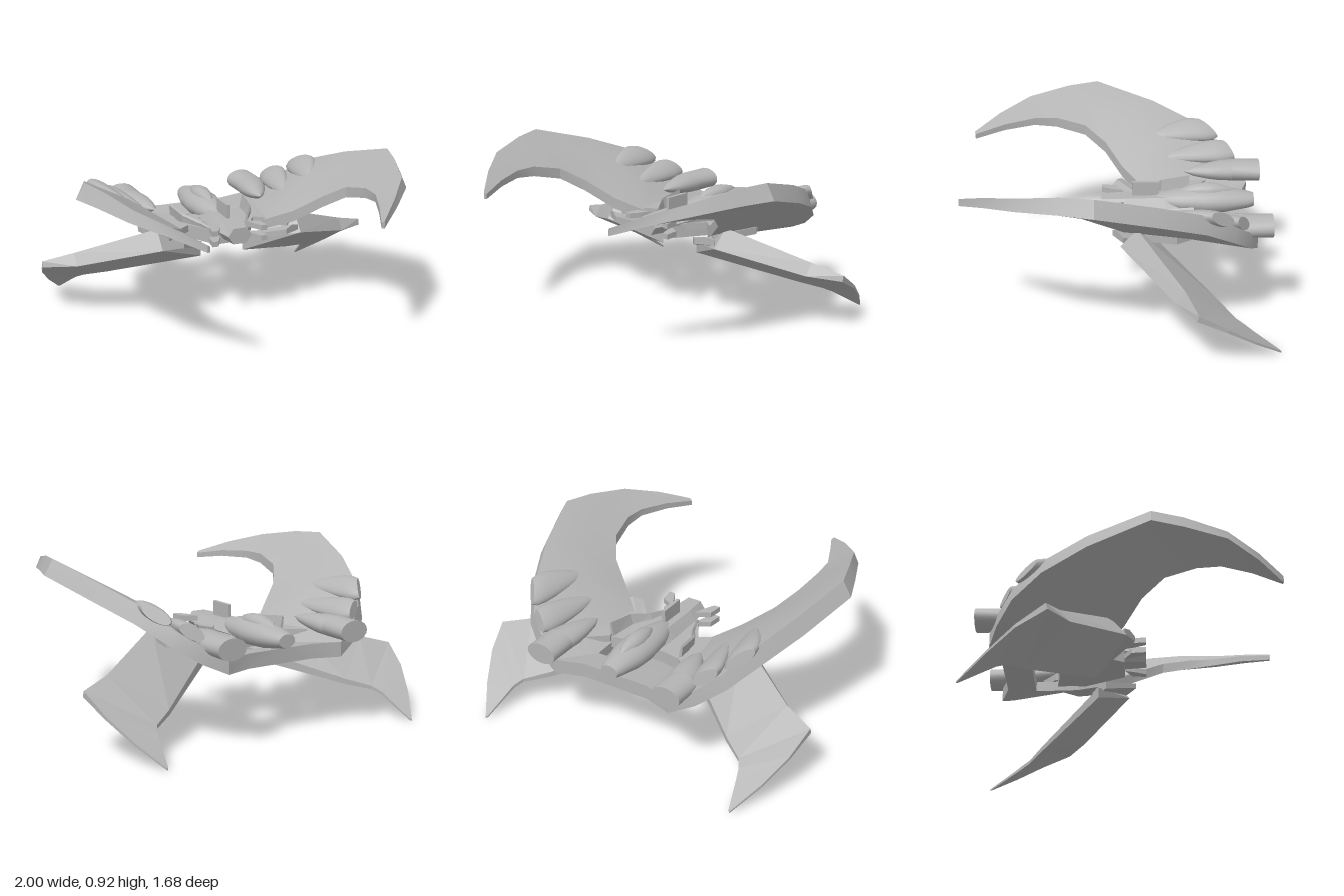
import * as THREE from 'three';
import { toCreasedNormals } from 'three/addons/utils/BufferGeometryUtils.js';

const V = (x, y, z) => new THREE.Vector3(x, y, z);

// Reverse the winding of a non-indexed geometry
function flip(geo) {
  for (const p of Object.values(geo.attributes)) {
    for (let i = 0; i < p.count; i += 3) {
      const b = [p.getX(i + 1), p.getY(i + 1), p.getZ(i + 1)];
      p.setXYZ(i + 1, p.getX(i + 2), p.getY(i + 2), p.getZ(i + 2));
      p.setXYZ(i + 2, ...b);
    }
  }
  return geo;
}

// Flat-sided solid through a row of equal-length cross-sections
function loft(sections) {
  const tris = [], n = sections[0].length, last = sections.length - 1;
  const tri = (a, b, c) => tris.push(a, b, c);
  for (let i = 0; i < last; i++) {
    for (let j = 0; j < n; j++) {
      const k = (j + 1) % n, A = sections[i], B = sections[i + 1];
      tri(A[j], A[k], B[k]);
      tri(A[j], B[k], B[j]);
    }
  }
  for (let j = 1; j < n - 1; j++) {
    tri(sections[0][0], sections[0][j + 1], sections[0][j]);
    tri(sections[last][0], sections[last][j], sections[last][j + 1]);
  }
  let volume = 0;
  for (let i = 0; i < tris.length; i += 3) volume += tris[i].dot(tris[i + 1].clone().cross(tris[i + 2]));
  const geo = new THREE.BufferGeometry().setFromPoints(tris);
  if (volume < 0) flip(geo);
  geo.computeVertexNormals();
  return geo;
}

// Horizontal plate from an [x, z] outline
function plate(points, y, height) {
  const shape = new THREE.Shape(points.map(([x, z]) => new THREE.Vector2(x, -z)));
  const geo = new THREE.ExtrudeGeometry(shape, { depth: height, bevelEnabled: false });
  geo.deleteAttribute('uv');
  return geo.rotateX(-Math.PI / 2).translate(0, y, 0);
}

// Flattened turned body from rear to tip; side is its half-width vector,
// which may be slanted so that the rear face is cut at an angle
function pod(profile, rear, tip, side, height) {
  const geo = new THREE.LatheGeometry(profile.map(([r, t]) => new THREE.Vector2(r, t)), 20);
  geo.deleteAttribute('uv');
  const dir = tip.clone().sub(rear);
  const up = side.clone().cross(dir).setLength(height);
  geo.applyMatrix4(new THREE.Matrix4().makeBasis(side, dir, up).setPosition(rear));
  return toCreasedNormals(geo, 0.75);
}

export function createModel() {
  const model = new THREE.Group();
  const hull = new THREE.MeshStandardMaterial({ color: 0xb4b4b4, side: THREE.DoubleSide });
  hull.name = 'hull grey';

  const add = (name, geo) => {
    const mesh = new THREE.Mesh(geo, hull);
    mesh.name = name;
    model.add(mesh);
  };
  // A part on the left and its mirror image on the right
  const addPair = (name, geo) => {
    add(name + 'Left', geo);
    const other = flip(geo.clone().scale(-1, 1, 1));
    const n = other.attributes.normal, m = geo.attributes.normal;
    for (let i = 0; i < n.count; i++) {
      const s = i - (i % 3) + [0, 2, 1][i % 3];
      n.setXYZ(i, -m.getX(s), m.getY(s), m.getZ(s));
    }
    add(name + 'Right', other);
  };

  // Crescent wings: outer edge, inner edge, inward lean, thickness and
  // crown, from the forward tip round to the bar joining both wings
  const wing = [
    [0.49, 0.71, 0.84, 0.475, 0.71, 0.835, 0, 0.04, 0],
    [0.64, 0.765, 0.7, 0.55, 0.735, 0.67, 0.015, 0.05, 0],
    [0.79, 0.81, 0.53, 0.62, 0.74, 0.5, 0.03, 0.06, 0],
    [0.88, 0.83, 0.3, 0.63, 0.725, 0.37, 0.04, 0.08, 0],
    [0.94, 0.835, 0.13, 0.6, 0.685, 0.2, 0.05, 0.085, 0.01],
    [0.84, 0.74, -0.2, 0.52, 0.605, 0.08, 0.045, 0.09, 0.025],
    [0.73, 0.65, -0.44, 0.38, 0.505, -0.02, 0.04, 0.09, 0.035],
    [0.62, 0.55, -0.6, 0.25, 0.445, -0.13, 0.03, 0.08, 0.03],
    [0.49, 0.46, -0.69, 0.22, 0.405, -0.3, 0.02, 0.08, 0.015],
    [0.36, 0.4, -0.74, 0.22, 0.4, -0.53, 0, 0.08, 0],
    [0.2, 0.4, -0.69, 0.18, 0.4, -0.53, 0, 0.08, 0],
    [0, 0.4, -0.69, 0, 0.4, -0.53, 0, 0.08, 0],
  ];
  addPair('crescentWing', toCreasedNormals(loft(wing.map(([ox, oy, oz, ix, iy, iz, dx, t, crown]) => {
    const outer = V(ox - dx, oy + t, oz), inner = V(ix, iy + t * 0.7, iz);
    const middle = outer.clone().lerp(inner, 0.5);
    middle.y += crown;
    return [V(ox, oy, oz), outer, middle, inner, V(ix, iy, iz)];
  })), 0.4));

  // Swept lower wings: leading edge, trailing edge, then leading height,
  // leading slope and trailing height
  const lowerWing = [
    [0.42, 0.44, 0, 0.13, 0.32, -0.17, 0.1, 0.09, 0.06],
    [0.83, 0.315, -0.28, 0.58, 0.17, -0.52, 0.065, 0.05, 0.03],
    [1, 0.3, -0.38, 0.7, 0.14, -0.6, 0.033, 0.01, 0.02],
    [0.965, 0.215, -0.54, 0.73, 0.115, -0.65, 0.02, 0, 0.02],
    [0.89, 0.108, -0.69, 0.745, 0.085, -0.7, 0.015, 0, 0.015],
    [0.79, 0, -0.84, 0.78, 0.005, -0.83, 0.01, 0, 0.01],
  ];
  addPair('lowerWing', loft(lowerWing.map(([lx, ly, lz, tx, ty, tz, lh, slope, th]) => [
    V(lx, ly, lz), V(lx, ly + lh, lz - slope), V(tx, ty + th, tz), V(tx, ty, tz)])));

  // Slanted wing mounts at the roots, with crowned tops
  const mount = [[0.31, 0.455, 0.04, 0.41, 0.455, -0.015, 0.03], [0.14, 0.38, -0.13, 0.25, 0.36, -0.21, 0.04]];
  addPair('wingMount', loft(mount.map(([ax, ay, az, bx, by, bz, h]) => [
    V(ax, ay, az), V(ax, ay + h, az), V((ax + bx) / 2, (ay + by) / 2 + h + 0.015, (az + bz) / 2),
    V(bx, by + h, bz), V(bx, by, bz)])));

  // Deck and root plates
  add('deck', plate([[-0.1, -0.02], [0.1, -0.02], [0.23, -0.26], [0.23, -0.41], [0.1, -0.39],
    [-0.1, -0.39], [-0.23, -0.41], [-0.23, -0.26]], 0.43, 0.07));
  addPair('rootPlate', plate([[0.1, -0.03], [0.2, -0.18], [0.36, -0.06], [0.42, -0.1], [0.46, -0.3],
    [0.32, -0.5], [0.22, -0.42], [0.23, -0.27]], 0.47, 0.04));

  // Curved collars beside the nose, rising and leaning out to the rear
  const collar = [[0.09, -0.03, 0.52], [0.13, -0.14, 0.535], [0.195, -0.24, 0.56], [0.215, -0.4, 0.58]];
  addPair('collar', loft(collar.map(([x, z, y]) => [
    V(x - 0.01, 0.48, z), V(x + 0.01, 0.48, z), V(x + 0.02, y - 0.01, z), V(x + 0.01, y, z)])));

  // Six-sided nose
  const nose = [[0.1, 0.07, 0.045], [-0.03, 0.09, 0.05], [-0.25, 0.09, 0.055], [-0.45, 0.08, 0.04]];
  add('nose', loft(nose.map(([z, w, h]) => [[-1, 0], [-0.55, 1], [0.55, 1], [1, 0], [0.55, -1], [-0.55, -1]]
    .map(([x, y]) => V(x * w, 0.505 + y * h, z)))));

  // Small foils around the nose
  const foil = [[0.08, -0.02], [0.155, 0.02], [0.165, 0.1], [0.13, 0.1], [0.1, 0.04]];
  addPair('upperFoil', plate(foil, 0.52, 0.03));
  addPair('lowerFoil', plate(foil, 0.46, 0.03));

  // Central body, canopy and spine fin
  const body = [[0, 0], [0.5, 0], [0.62, 0.05], [0.93, 0.27], [1, 0.45], [0.85, 0.68], [0.5, 0.88], [0, 1]];
  add('centralBody', pod(body, V(0, 0.53, -0.745), V(0, 0.53, -0.14), V(0.102, 0, 0), 0.072));
  const spindle = [[0, 0], [0.5, 0.12], [0.9, 0.35], [1, 0.5], [0.85, 0.7], [0.5, 0.88], [0, 1]];
  add('canopy', pod(spindle, V(0, 0.585, -0.64), V(0, 0.585, -0.33), V(0.052, 0, 0), 0.045));
  add('spineFin', new THREE.BoxGeometry(0.02, 0.1, 0.15).translate(0, 0.585, -0.145));

  // Main engines: straight barrels with tapering fronts
  const barrel = [[0, 0], [1, 0], [1, 1], [0, 1]];
  const taper = [[0, 0], [1, 0], [0.93, 0.25], [0.75, 0.5], [0.45, 0.78], [0, 1]];
  addPair('engineBarrel', pod(barrel, V(0.388, 0.547, -0.813), V(0.388, 0.547, -0.65), V(0.087, 0, 0), 0.058));
  addPair('engineFront', pod(taper, V(0.388, 0.547, -0.65), V(0.33, 0.56, -0.37), V(0.087, 0, 0), 0.058));

  // Teardrop pods on the rear of each crescent wing, cut along its edge
  const drop = [[0, 0], [0.85, 0], [1, 0.1], [1, 0.25], [0.8, 0.5], [0.45, 0.8], [0, 1]];
  addPair('innerPod', pod(drop, V(0.52, 0.62, -0.645), V(0.43, 0.605, -0.25), V(0.06, 0.04, 0.04), 0.04));
  addPair('outerPod', pod(drop, V(0.655, 0.705, -0.525), V(0.55, 0.69, -0.19), V(0.055, 0.045, 0.072), 0.04));

  return model;
}
